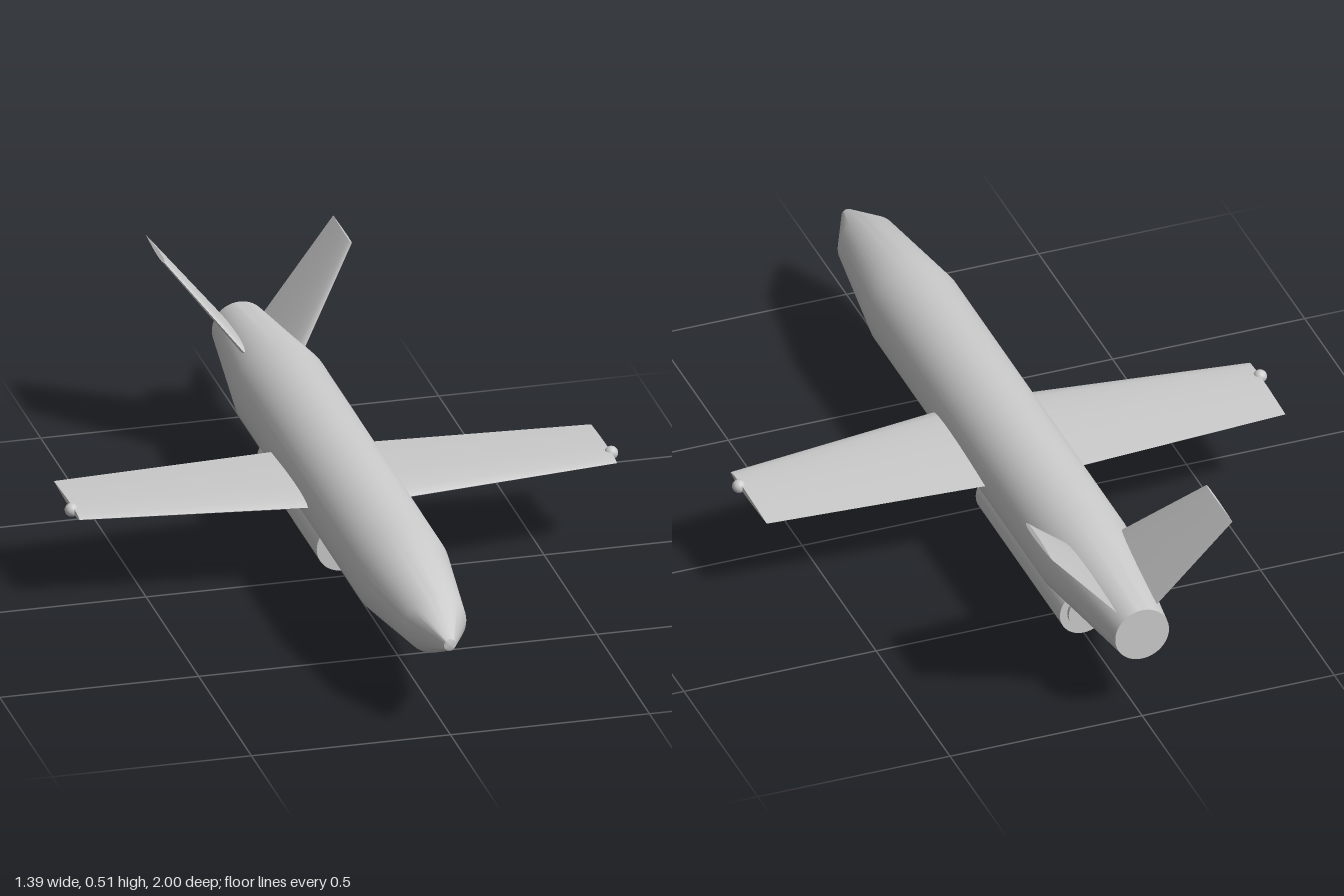
import * as THREE from 'three';
import { toCreasedNormals } from 'three/addons/utils/BufferGeometryUtils.js';

const AXIS_Y = 0.238;
const material = new THREE.MeshStandardMaterial({ color: 0xcccccc });

function addMesh(parent, name, geometry, x = 0, y = 0, z = 0) {
  const mesh = new THREE.Mesh(geometry, material);
  mesh.name = name;
  mesh.position.set(x, y, z);
  parent.add(mesh);
  return mesh;
}

// Body of revolution along z; profile is [radius, z] from back to front
function turned(profile, segments = 48) {
  const points = profile.map(([r, z]) => new THREE.Vector2(r, z));
  return toCreasedNormals(new THREE.LatheGeometry(points, segments).rotateX(Math.PI / 2), 0.6);
}

// Symmetric airfoil lofted between a root and a tip section.
// Each section is { lead, trail, thick }; side = -1 mirrors it to the right.
function airfoil(root, tip, side) {
  const steps = 10;
  const lead = new THREE.Vector3(...root.lead);
  const span = new THREE.Vector3(...tip.lead).sub(lead);
  const chord = new THREE.Vector3(...root.trail).sub(lead);
  const up = chord.cross(span).normalize().negate();
  if (up.y < 0) up.negate();

  const positions = [];
  const count = steps * 2;
  for (const section of [root, tip]) {
    const a = new THREE.Vector3(...section.lead);
    const b = new THREE.Vector3(...section.trail);
    for (let i = 0; i < count; i++) {
      const upper = i <= steps;
      const t = (upper ? i : count - i) / steps;
      const u = (1 - Math.cos(Math.PI * t)) / 2;
      const half = section.thick * 5 *
        (0.2969 * Math.sqrt(u) - 0.126 * u - 0.3516 * u ** 2 + 0.2843 * u ** 3 - 0.1036 * u ** 4);
      const p = a.clone().lerp(b, u).addScaledVector(up, upper ? half : -half);
      positions.push(p.x * side, p.y, p.z);
    }
  }

  const index = [];
  const face = (a, b, c) => index.push(...(side > 0 ? [a, b, c] : [a, c, b]));
  for (let i = 0; i < count; i++) {
    const j = (i + 1) % count;
    face(i, count + i, j);
    face(j, count + i, count + j);
    if (i > 0 && j > 0) {
      face(count, count + j, count + i);
      face(0, i, j);
    }
  }
  const geometry = new THREE.BufferGeometry();
  geometry.setAttribute('position', new THREE.Float32BufferAttribute(positions, 3));
  geometry.setIndex(index);
  return toCreasedNormals(geometry, 0.7);
}

export function createModel() {
  const model = new THREE.Group();
  model.name = 'drone';

  // Fuselage with tapered nose and tail
  addMesh(model, 'fuselage', turned([
    [0, -1], [0.07, -1], [0.12, -0.61], [0.12, 0.54],
    [0.077, 0.86], [0.015, 0.995], [0, 1],
  ]), 0, AXIS_Y, 0);

  // Engine pod under the belly, with its exhaust
  const engine = new THREE.Group();
  engine.name = 'engine';
  engine.position.y = 0.064;
  model.add(engine);
  addMesh(engine, 'enginePod', turned([
    [0, -0.605], [0.062, -0.605], [0.062, -0.035], [0, -0.035],
  ]));
  addMesh(engine, 'exhaust', turned([
    [0, -0.615], [0.043, -0.615], [0.043, -0.6], [0, -0.6],
  ]), 0, 0.003, 0);

  for (const side of [1, -1]) {
    const label = side > 0 ? 'left' : 'right';

    // Main wing
    addMesh(model, label + 'Wing', airfoil(
      { lead: [0.03, AXIS_Y, 0.112], trail: [0.03, AXIS_Y, -0.256], thick: 0.025 },
      { lead: [0.675, AXIS_Y, 0.03], trail: [0.675, AXIS_Y, -0.215], thick: 0.014 },
      side));

    // Wing tip light
    addMesh(model, label + 'TipLight', new THREE.SphereGeometry(0.017, 20, 14),
      side * 0.678, AXIS_Y, -0.035);

    // Slanted tail fin
    addMesh(model, label + 'TailFin', airfoil(
      { lead: [0.04, 0.277, -0.63], trail: [0.04, 0.277, -0.962], thick: 0.018 },
      { lead: [0.235, 0.51, -0.825], trail: [0.235, 0.51, -1], thick: 0.01 },
      side));
  }
  return model;
}
